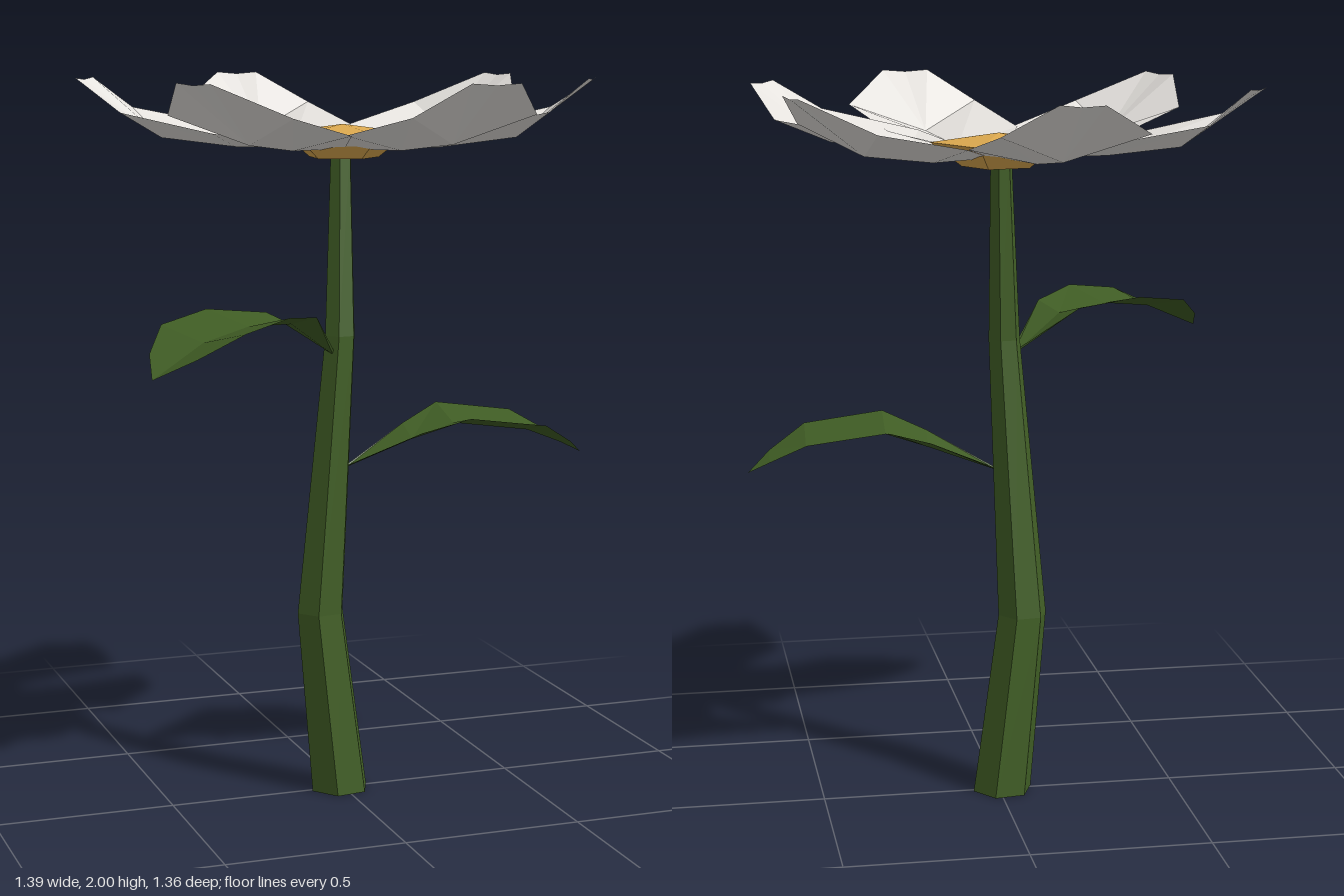
import * as THREE from 'three';

const material = (name, color, side = THREE.FrontSide) => {
  const m = new THREE.MeshStandardMaterial({ color, flatShading: true, side });
  m.name = name;
  return m;
};

// Surface through rows of points, every row having the same count
function sheet(rows) {
  const n = rows[0].length, index = [];
  for (let i = 0; i < rows.length - 1; i++) {
    for (let j = 0; j < n - 1; j++) {
      const a = i * n + j, b = a + n;
      // diagonals mirror about the midrib
      if (j < (n - 1) / 2) index.push(a, a + 1, b, a + 1, b + 1, b);
      else index.push(a, a + 1, b + 1, a, b + 1, b);
    }
  }
  const g = new THREE.BufferGeometry();
  g.setAttribute('position', new THREE.Float32BufferAttribute(rows.flat(2), 3));
  g.setIndex(index);
  const flat = g.toNonIndexed();
  flat.computeVertexNormals();
  return flat;
}

// Petal outlines as x, z pairs: side, corner, tip, tip, corner, side
const PETALS = [
  [[0.13, -0.3], [0.09, -0.56], [-0.04, -0.655], [-0.15, -0.68], [-0.3, -0.53], [-0.26, -0.26]],
  [[0.32, -0.08], [0.55, -0.1], [0.6, -0.25], [0.57, -0.37], [0.38, -0.45], [0.13, -0.31]],
  [[0.18, 0.28], [0.44, 0.38], [0.58, 0.32], [0.65, 0.22], [0.6, 0.03], [0.32, 0.03]],
  [[-0.11, 0.33], [-0.03, 0.6], [0.1, 0.67], [0.23, 0.675], [0.35, 0.5], [0.27, 0.24]],
  [[-0.35, 0.05], [-0.56, 0.25], [-0.57, 0.37], [-0.52, 0.5], [-0.32, 0.54], [-0.1, 0.35]],
  [[-0.23, -0.25], [-0.5, -0.33], [-0.63, -0.25], [-0.7, -0.16], [-0.63, 0.04], [-0.4, 0.1]],
];

// Cupped petal: the ridge lies lower than the edges
function petalGeometry([s1, c1, t1, t2, c2, s2]) {
  const at = (p, y, k = 1) => [p[0] * k, y, p[1] * k];
  const mid = (p, q, y, k) => at([(p[0] + q[0]) / 2, (p[1] + q[1]) / 2], y, k);
  return sheet([
    [at(s1, 1.81, 0.25), mid(s1, s2, 1.805, 0.25), at(s2, 1.81, 0.25)],
    [at(s1, 1.855), mid(s1, s2, 1.81, 0.9), at(s2, 1.855)],
    [at(c1, 1.91), mid(c1, c2, 1.835, 0.84), at(c2, 1.91)],
    [at(t1, 1.995), mid(t1, t2, 1.99, 1), at(t2, 1.995)],
  ]);
}

// Leaf arching from base along a ground direction; rows: [along, halfWidth, edgeY, ribY]
function leafGeometry([bx, bz], angle, rows) {
  const c = Math.cos(angle), s = Math.sin(angle);
  return sheet(rows.map(([d, w, edgeY, ribY]) => [-w, 0, w].map(
    (o) => [bx + c * d - s * o, o ? edgeY : ribY, bz + s * d + c * o])));
}

export function createModel() {
  const group = new THREE.Group();
  const green = material('green', 0x426026);
  const leafGreen = material('leaf green', 0x3f5c24, THREE.DoubleSide);
  const white = material('petal white', 0xe6e3df, THREE.DoubleSide);
  const gold = material('gold', 0xdca94f);
  const add = (name, geometry, mat) => {
    const mesh = new THREE.Mesh(geometry, mat);
    mesh.name = name;
    group.add(mesh);
  };

  // Bent six-sided stem: [x, y, z, radius] per ring
  const rings = [[-0.01, 0, 0, 0.085], [-0.067, 0.52, 0, 0.07],
    [-0.022, 1.3, 0.038, 0.045], [-0.007, 1.81, 0.002, 0.03]];
  const stem = new THREE.CylinderGeometry(1, 1, 3, 6, 3, false, THREE.MathUtils.degToRad(38));
  const p = stem.attributes.position;
  for (let i = 0; i < p.count; i++) {
    const [x, y, z, r] = rings[Math.round(p.getY(i) + 1.5)];
    p.setXYZ(i, x + p.getX(i) * r, y, z + p.getZ(i) * r);
  }
  stem.computeVertexNormals();
  add('stem', stem, green);

  // Leaves
  add('rightLeaf', leafGeometry([-0.05, 0.06], Math.PI - 0.526, [
    [0, 0.004, 1.26, 1.25], [0.17, 0.09, 1.375, 1.35], [0.34, 0.15, 1.395, 1.36],
    [0.51, 0.15, 1.37, 1.335], [0.62, 0.085, 1.31, 1.29], [0.695, 0.002, 1.26, 1.26],
  ]), leafGreen);
  add('leftLeaf', leafGeometry([0.0, 0.03], 0.06, [
    [0, 0.004, 0.935, 0.93], [0.19, 0.09, 1.03, 1.0], [0.31, 0.155, 1.075, 1.04],
    [0.53, 0.15, 1.045, 1.01], [0.63, 0.08, 0.985, 0.97], [0.69, 0.002, 0.94, 0.94],
  ]), leafGreen);

  // Petals
  PETALS.forEach((outline, i) => add(`petal${i + 1}`, petalGeometry(outline), white));

  // Five-sided flower centre
  const profile = [[0, 1.775], [0.1, 1.78], [0.185, 1.845], [0, 1.87]]
    .map(([r, y]) => new THREE.Vector2(r, y));
  add('flowerCentre', new THREE.LatheGeometry(profile, 5, THREE.MathUtils.degToRad(83)), gold);

  return group;
}
